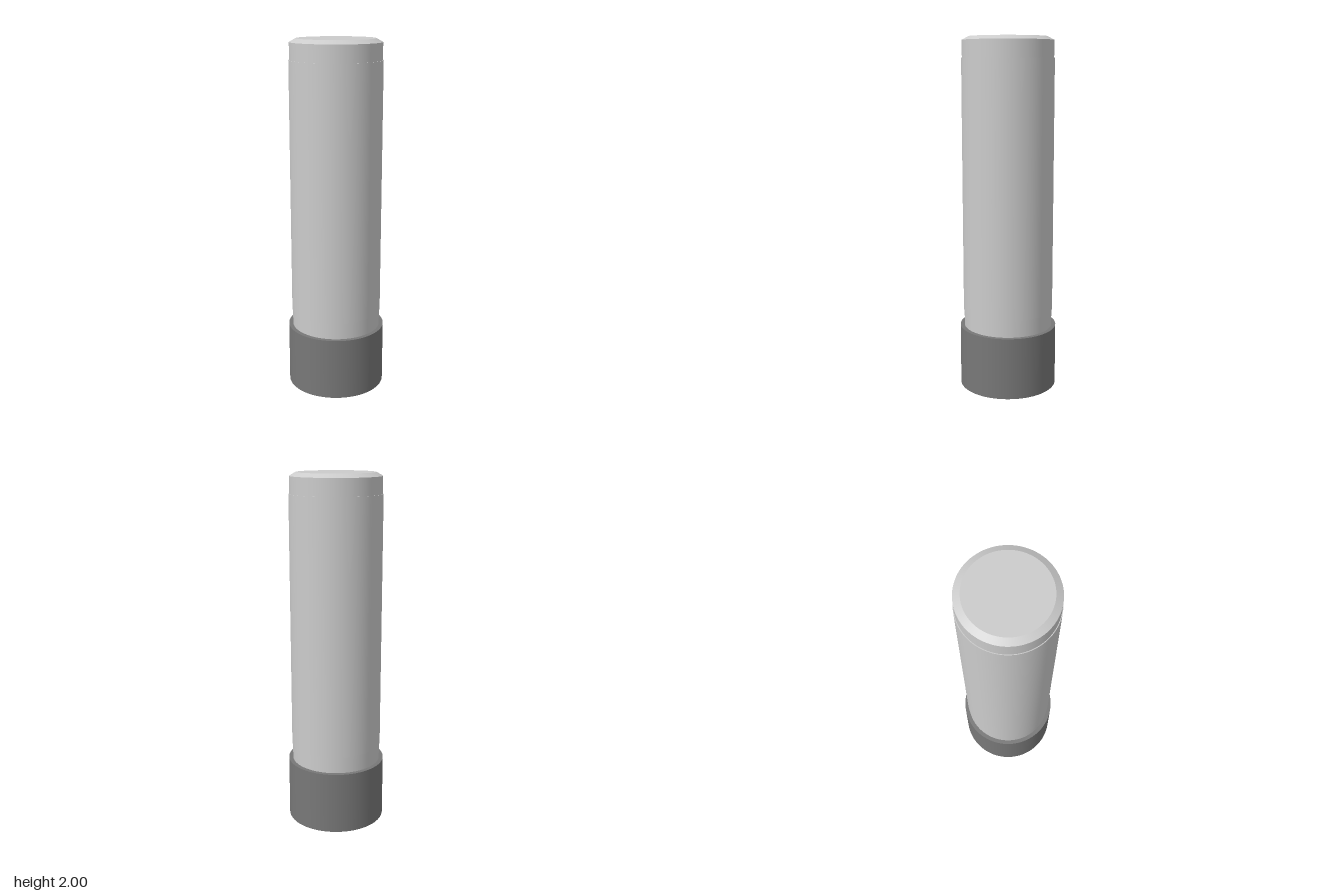
import * as THREE from 'three';

const SEGMENTS = 96;

export function createModel() {
  const group = new THREE.Group();
  const bodyMaterial = new THREE.MeshStandardMaterial({ color: 0xcccccc });
  const capMaterial = new THREE.MeshStandardMaterial({ color: 0x787878 });

  // Upright round section between two heights
  function addRound(name, bottomRadius, topRadius, y0, y1, material) {
    const geometry = new THREE.CylinderGeometry(topRadius, bottomRadius, y1 - y0, SEGMENTS);
    const mesh = new THREE.Mesh(geometry, material);
    mesh.name = name;
    mesh.position.y = (y0 + y1) / 2;
    group.add(mesh);
  }

  // Dark cap the tube stands on
  addRound('baseCap', 0.278, 0.278, 0, 0.355, capMaterial);
  // Main tube, with a bevelled closed top
  addRound('tube', 0.254, 0.254, 0.34, 1.98, bodyMaterial);
  addRound('topBevel', 0.254, 0.218, 1.98, 2, bodyMaterial);
  // Thin sleeve wrapped round the tube
  addRound('sleeve', 0.258, 0.258, 0.45, 1.885, bodyMaterial);

  return group;
}
